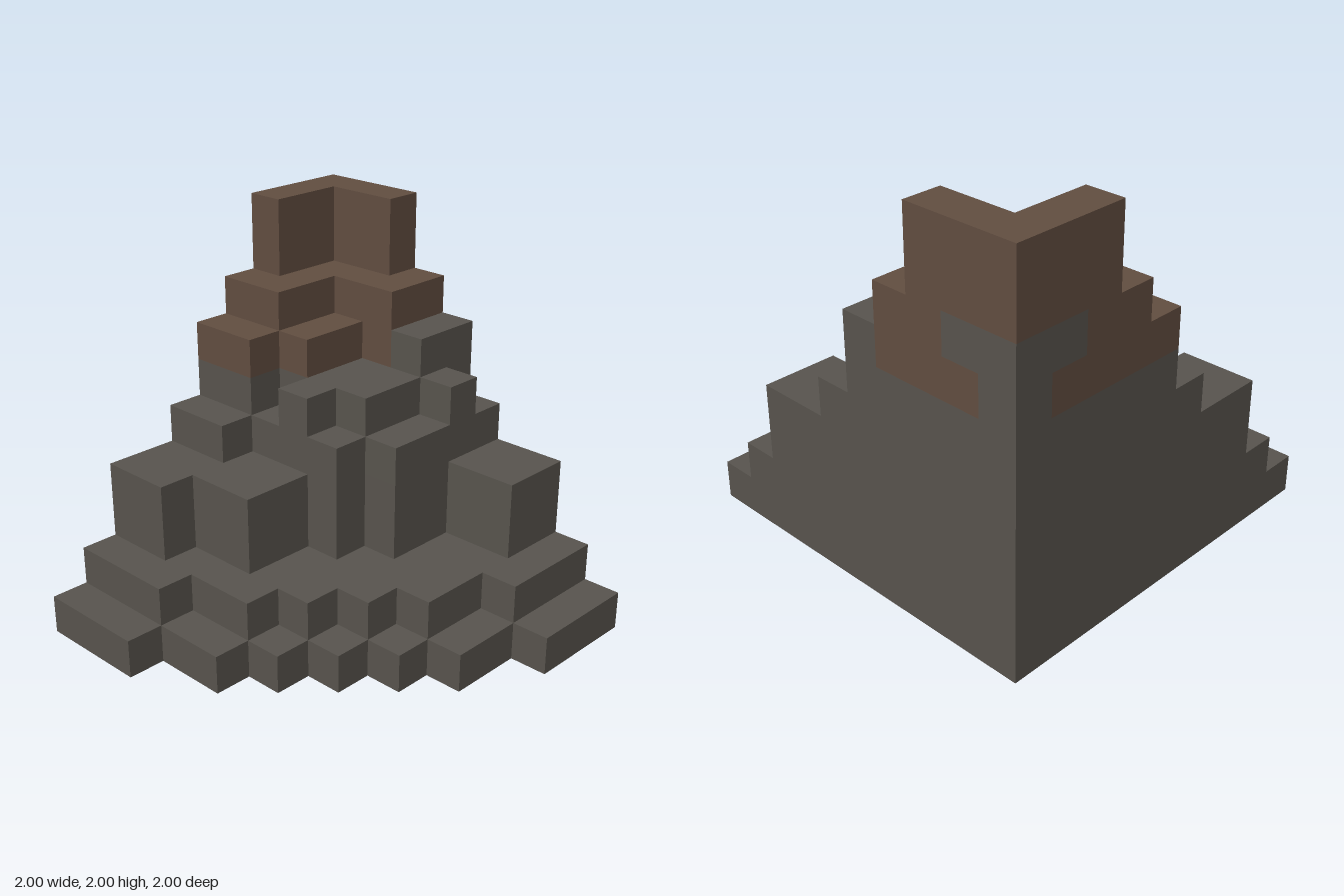
import * as THREE from 'three';

const N = 10;          // blocks per side
const CELL = 2 / N;    // block size

// Column heights in blocks: one row per z step (back to front), x left to right
const heights = [
  [10, 10, 10, 8, 7, 5, 4, 4, 2, 1],
  [10, 8, 8, 8, 7, 6, 4, 4, 2, 1],
  [10, 8, 7, 6, 6, 5, 2, 2, 2, 1],
  [8, 8, 7, 6, 6, 5, 2, 2, 1],
  [7, 7, 5, 6, 5, 2, 2, 2, 1],
  [5, 5, 4, 4, 2, 2, 2, 1],
  [4, 4, 4, 4, 2, 2, 1],
  [4, 4, 2, 2, 2, 1],
  [2, 2, 2, 1, 1],
  [1, 1, 1],
];

const filled = ([x, y, z]) => y >= 0 && y < (heights[z]?.[x] ?? 0);

// Brown earth caps the peak; a stone core shows through at the back corner
function isEarth([x, y, z]) {
  if (y >= 8) return true;
  if (y === 7) return x + z > 1;
  return y === 6 && x < 4 && x + z > 0;
}

// Outer faces of every block that passes the test
function blockGeometry(test) {
  const positions = [];
  const normals = [];
  const indices = [];

  function addFace(cell, axis, sign) {
    const u = (axis + 1) % 3;
    const v = (axis + 2) % 3;
    const base = positions.length / 3;
    for (const [du, dv] of [[0, 0], [1, 0], [1, 1], [0, 1]]) {
      const p = [...cell];
      p[u] += du;
      p[v] += dv;
      if (sign > 0) p[axis] += 1;
      positions.push(p[0] * CELL - 1, p[1] * CELL, p[2] * CELL - 1);
      const n = [0, 0, 0];
      n[axis] = sign;
      normals.push(...n);
    }
    const order = sign > 0 ? [0, 1, 2, 0, 2, 3] : [0, 2, 1, 0, 3, 2];
    indices.push(...order.map((k) => base + k));
  }

  for (let z = 0; z < N; z++) {
    for (let x = 0; x < heights[z].length; x++) {
      for (let y = 0; y < heights[z][x]; y++) {
        const cell = [x, y, z];
        if (!test(cell)) continue;
        for (let axis = 0; axis < 3; axis++) {
          for (const sign of [-1, 1]) {
            const next = [...cell];
            next[axis] += sign;
            if (!filled(next)) addFace(cell, axis, sign);
          }
        }
      }
    }
  }

  const geometry = new THREE.BufferGeometry();
  geometry.setAttribute('position', new THREE.Float32BufferAttribute(positions, 3));
  geometry.setAttribute('normal', new THREE.Float32BufferAttribute(normals, 3));
  geometry.setIndex(indices);
  return geometry;
}

export function createModel() {
  const stone = new THREE.MeshStandardMaterial({ color: 0x57534d });
  stone.name = 'stone grey';
  const earth = new THREE.MeshStandardMaterial({ color: 0x614d40 });
  earth.name = 'earth brown';

  const group = new THREE.Group();
  group.name = 'blockMountain';

  // Grey stepped slope
  const slope = new THREE.Mesh(blockGeometry((c) => !isEarth(c)), stone);
  slope.name = 'stoneSlope';

  // Brown peak
  const peak = new THREE.Mesh(blockGeometry(isEarth), earth);
  peak.name = 'earthPeak';

  group.add(slope, peak);
  return group;
}
